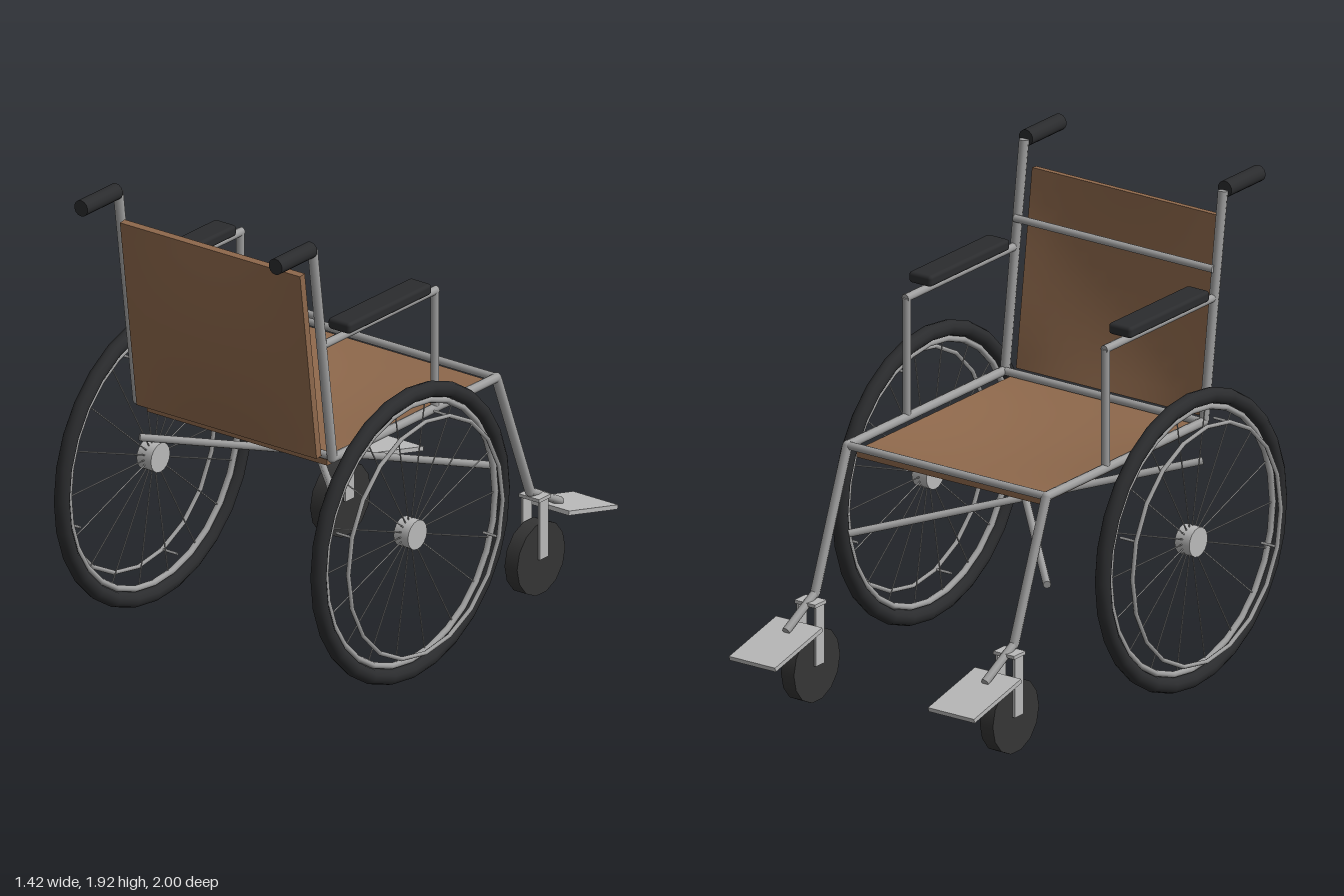
import * as THREE from 'three';
import { RoundedBoxGeometry } from 'three/addons/geometries/RoundedBoxGeometry.js';

const mat = (name, color) => {
  const m = new THREE.MeshStandardMaterial({ color });
  m.name = name;
  return m;
};

export function createModel() {
  const leather = mat('brown leather', 0x8f694c);
  const rubber = mat('black rubber', 0x2b2c2e);
  const casterRubber = mat('caster rubber', 0x353535);
  const steel = mat('steel tube', 0xa0a0a0);
  const plate = mat('pale metal', 0xbababa);

  const model = new THREE.Group();
  model.name = 'wheelchair';

  const add = (parent, name, geo, material, x = 0, y = 0, z = 0) => {
    const m = new THREE.Mesh(geo, material);
    m.name = name;
    m.position.set(x, y, z);
    parent.add(m);
    return m;
  };
  // Straight tube between two points
  const tube = (parent, name, a, b, r, material = steel, sides = 8) => {
    const p = new THREE.Vector3(...a), q = new THREE.Vector3(...b);
    const d = q.clone().sub(p);
    const m = add(parent, name, new THREE.CylinderGeometry(r, r, d.length(), sides), material);
    m.position.copy(p).add(q).multiplyScalar(0.5);
    m.quaternion.setFromUnitVectors(new THREE.Vector3(0, 1, 0), d.normalize());
    return m;
  };
  // Slung cloth panel lying flat, bulging downwards in the middle
  const sling = (w, t, d, sag) => {
    const g = new THREE.BoxGeometry(w, t, d, 12, 1, 12);
    const p = g.attributes.position;
    for (let i = 0; i < p.count; i++) {
      const u = (2 * p.getX(i)) / w, v = (2 * p.getZ(i)) / d;
      p.setY(i, p.getY(i) - sag * (1 - u * u) * (1 - v * v));
    }
    g.computeVertexNormals();
    return g;
  };

  // Seat and backrest
  add(model, 'seat', sling(0.88, 0.03, 1.0, 0.038), leather, 0, 0.945, 0.132);
  const back = add(model, 'backrest', sling(0.88, 0.03, 0.8, 0.05), leather, 0, 1.378, 0.735);
  back.rotation.x = -Math.PI / 2 + 0.13;

  // Cross bars and folding braces
  tube(model, 'frontSeatBar', [-0.475, 0.975, -0.38], [0.475, 0.975, -0.38], 0.017);
  tube(model, 'rearSeatBar', [-0.475, 0.975, 0.635], [0.475, 0.975, 0.635], 0.017);
  tube(model, 'backBar', [-0.475, 1.58, 0.708], [0.475, 1.58, 0.708], 0.016);
  for (const s of [-1, 1]) {
    tube(model, 'crossBrace', [s * 0.475, 0.815, 0.635], [-s * 0.475, 0.61, -0.375], 0.016);
  }

  // Everything that sits on each side of the chair
  for (const s of [-1, 1]) {
    const side = new THREE.Group();
    side.name = s > 0 ? 'leftSide' : 'rightSide';
    model.add(side);
    const x = s * 0.475;

    // Frame tubes, with balls rounding the bends
    tube(side, 'backPost', [x, 0.975, 0.645], [x, 1.885, 0.768], 0.02);
    tube(side, 'seatRail', [x, 0.975, 0.645], [x, 0.975, -0.38], 0.019);
    tube(side, 'frontLeg', [x, 0.975, -0.38], [x, 0.43, -0.59], 0.02);
    tube(side, 'footStrut', [x, 0.435, -0.585], [x, 0.33, -0.78], 0.017);
    tube(side, 'armPost', [x, 0.975, 0.005], [x, 1.465, 0.005], 0.017);
    tube(side, 'armRail', [x, 1.465, -0.005], [x, 1.465, 0.71], 0.017);
    for (const [y, z] of [[0.975, 0.645], [0.975, -0.38], [0.43, -0.59]]) {
      add(side, 'tubeBend', new THREE.SphereGeometry(0.02, 8, 6), steel, x, y, z);
    }

    // Push handle and arm pad
    tube(side, 'handGrip', [x, 1.888, 0.78], [x, 1.888, 1.0], 0.033, rubber, 14);
    add(side, 'armPad', new RoundedBoxGeometry(0.108, 0.046, 0.52, 2, 0.014), rubber, s * 0.477, 1.512, 0.35);

    // Footplate
    const foot = add(side, 'footplate', new THREE.BoxGeometry(0.22, 0.018, 0.315), plate, x, 0.298, -0.845);
    foot.rotation.x = -0.237;

    // Caster: wheel, crown and fork blades
    tube(side, 'casterWheel', [x - 0.031, 0.15, -0.62], [x + 0.031, 0.15, -0.62], 0.15, casterRubber, 14);
    add(side, 'forkCrown', new THREE.BoxGeometry(0.1, 0.014, 0.075), plate, x, 0.405, -0.62);
    for (const k of [-1, 1]) {
      add(side, 'forkBlade', new THREE.BoxGeometry(0.01, 0.25, 0.055), plate, x + k * 0.041, 0.28, -0.62);
    }

    // Main wheel, built around z and turned so its hand rim faces outwards
    const wheel = new THREE.Group();
    wheel.name = 'mainWheel';
    wheel.position.set(s * 0.627, 0.607, 0.353);
    wheel.rotation.y = (s * Math.PI) / 2;
    side.add(wheel);
    add(wheel, 'tyre', new THREE.TorusGeometry(0.573, 0.032, 10, 28), rubber);
    add(wheel, 'rim', new THREE.TorusGeometry(0.53, 0.013, 8, 28), steel);
    add(wheel, 'handRim', new THREE.TorusGeometry(0.482, 0.009, 6, 20), steel, 0, 0, 0.075);
    tube(wheel, 'hub', [0, 0, -0.034], [0, 0, 0.036], 0.06, plate, 16);
    for (let i = 0; i < 18; i++) {
      const a = (i * Math.PI) / 9, c = Math.cos(a), n = Math.sin(a);
      tube(wheel, 'spoke', [0.05 * c, 0.05 * n, 0], [0.53 * c, 0.53 * n, 0], 0.003, steel, 5);
    }
    for (let i = 0; i < 4; i++) {
      const a = ((72 + i * 90) * Math.PI) / 180, c = 0.482 * Math.cos(a), n = 0.482 * Math.sin(a);
      tube(wheel, 'handRimPeg', [c, n, 0], [c, n, 0.075], 0.006, steel, 6);
    }
  }
  return model;
}
